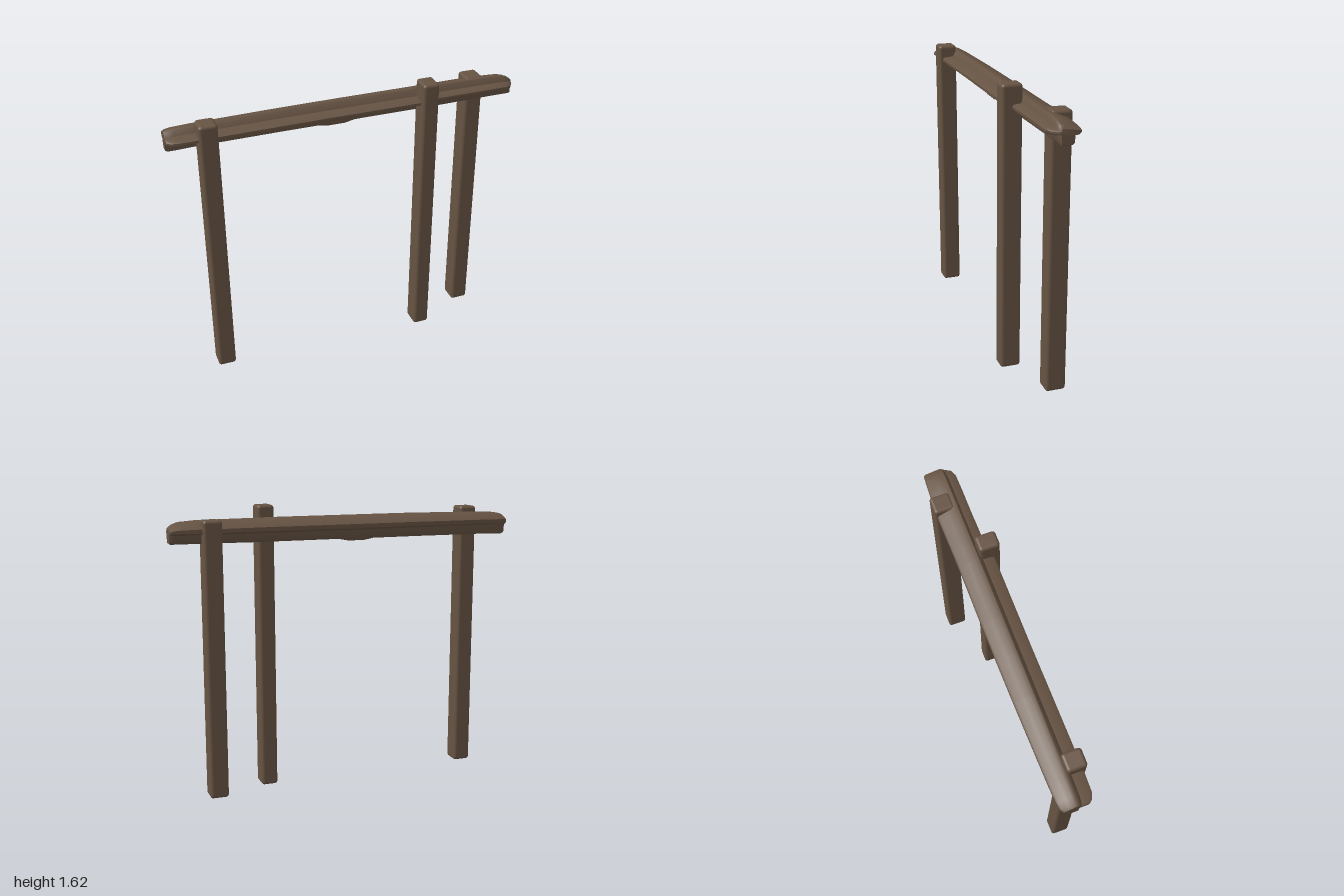
import * as THREE from 'three';
import { toCreasedNormals } from 'three/addons/utils/BufferGeometryUtils.js';
import { RoundedBoxGeometry } from 'three/addons/geometries/RoundedBoxGeometry.js';

const wood = new THREE.MeshStandardMaterial({ color: 0x665343 });
wood.name = 'weathered wood';

// Upright post with softened edges; its top is moved by leanX, leanZ
function post(name, x, z, width, depth, bottom, top, leanX, leanZ) {
  const h = top - bottom;
  const geo = new RoundedBoxGeometry(width, h, depth, 4, 0.017);
  const p = geo.attributes.position;
  for (let i = 0; i < p.count; i++) {
    const t = p.getY(i) / h + 0.5;
    p.setX(i, p.getX(i) + leanX * t);
    p.setZ(i, p.getZ(i) + leanZ * t);
  }
  const mesh = new THREE.Mesh(geo, wood);
  mesh.name = name;
  mesh.position.set(x, bottom + h / 2, z);
  return mesh;
}

// Beam cross-section (z, y) around its centre: front lip, ridge, back slope, keel
const PROFILE = [
  [0.85, -0.012], [1, -0.004], [1, 0.01], [0.85, 0.018], [0.3, 0.024],
  [0.17, 0.048], [0.04, 0.06], [-0.18, 0.06], [-0.5, 0.045], [-0.9, 0.026],
  [-1, 0.016], [-1, -0.006], [-0.9, -0.016], [-0.7, -0.018],
  [-0.66, -0.058], [-0.56, -0.068], [0.0, -0.068], [0.12, -0.06], [0.16, -0.014],
];

// Stations along the beam: x, back reach, front reach, upper scale, lower scale
const STATIONS = [
  [-1, 0.07, 0.062, 0.6, 1.0],
  [-0.985, 0.083, 0.08, 0.7, 1.1],
  [-0.95, 0.09, 0.092, 0.82, 1.1],
  [-0.85, 0.095, 0.095, 0.9, 1.05],
  [-0.4, 0.104, 0.092, 1, 1.02],
  [-0.16, 0.107, 0.09, 1, 1.02],
  [-0.1, 0.107, 0.09, 1, 1.17],
  [-0.01, 0.108, 0.09, 1, 1.17],
  [0.05, 0.108, 0.09, 1, 1.0],
  [0.4, 0.108, 0.09, 1, 1],
  [0.5, 0.109, 0.07, 0.98, 1],
  [0.7, 0.113, 0.067, 0.95, 0.97],
  [0.85, 0.108, 0.067, 0.93, 0.95],
  [0.94, 0.104, 0.065, 0.82, 0.95],
  [0.975, 0.101, 0.05, 0.62, 0.95],
  [0.993, 0.1, 0.022, 0.4, 0.95],
  [1, 0.092, 0.01, 0.3, 0.88],
];

function beamGeometry() {
  const n = PROFILE.length, pos = [], idx = [];
  for (const [x, back, front, up, down] of STATIONS)
    for (const [z, y] of PROFILE)
      pos.push(x, 1.492 + y * (y > 0 ? up : down), z * (z > 0 ? front : back));
  for (let i = 0; i < STATIONS.length - 1; i++)
    for (let j = 0; j < n; j++) {
      const a = i * n + j, b = i * n + (j + 1) % n;
      idx.push(a, a + n, b, b, a + n, b + n);
    }
  // End caps
  for (const end of [0, STATIONS.length - 1]) {
    const o = end * n;
    const pts = PROFILE.map((_, j) => new THREE.Vector2(pos[(o + j) * 3 + 2], pos[(o + j) * 3 + 1]));
    for (const [a, b, c] of THREE.ShapeUtils.triangulateShape(pts, [])) {
      const ccw = THREE.ShapeUtils.area([pts[a], pts[b], pts[c]]) > 0;
      if (ccw === (end === 0)) idx.push(o + a, o + b, o + c);
      else idx.push(o + a, o + c, o + b);
    }
  }
  const geo = new THREE.BufferGeometry();
  geo.setAttribute('position', new THREE.Float32BufferAttribute(pos, 3));
  geo.setIndex(idx);
  return toCreasedNormals(geo, 0.75);
}

export function createModel() {
  const model = new THREE.Group();
  model.name = 'hitchingRail';
  const beam = new THREE.Mesh(beamGeometry(), wood);
  beam.name = 'beam';
  model.add(
    beam,
    post('frontRightPost', -0.785, 0.055, 0.102, 0.108, 0.012, 1.58, -0.004, 0.005),
    post('frontLeftPost', 0.448, 0.071, 0.094, 0.114, 0, 1.617, 0, -0.002),
    post('backLeftPost', 0.777, -0.068, 0.104, 0.113, 0.008, 1.553, 0, -0.001),
  );
  return model;
}
